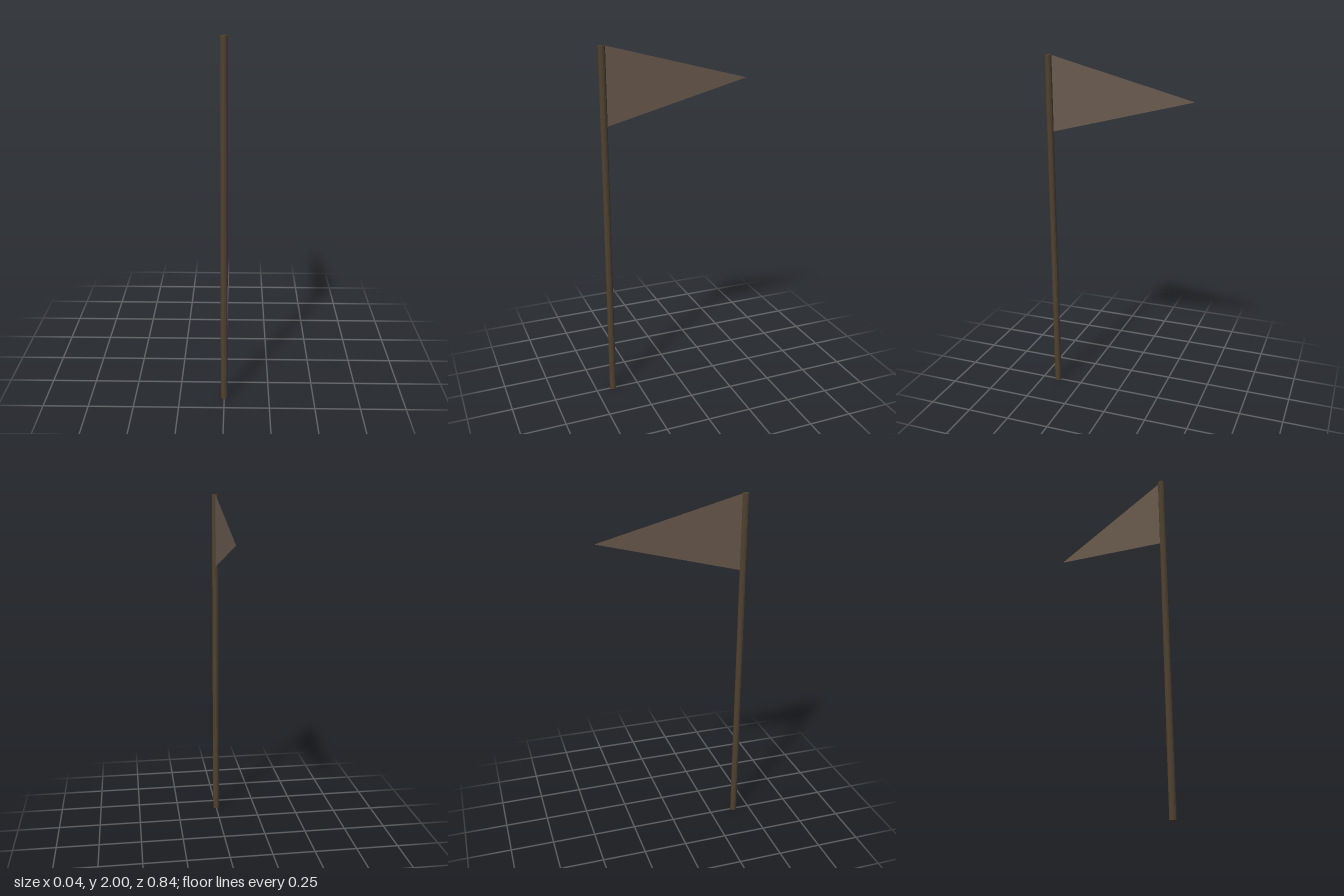
import * as THREE from 'three';

export function createModel() {
  const model = new THREE.Group();
  const wood = new THREE.MeshStandardMaterial({ color: 0x4f4130 });
  wood.name = 'dark wood';
  const cloth = new THREE.MeshStandardMaterial({ color: 0x6a5a4e, side: THREE.DoubleSide });
  cloth.name = 'brown cloth';
  wood.flatShading = true;

  const poleZ = 0.402, poleRadius = 0.019;

  // Upright pole at the front edge
  const pole = new THREE.Mesh(new THREE.CylinderGeometry(poleRadius, poleRadius, 2, 12), wood);
  pole.name = 'pole';
  pole.position.set(0, 1, poleZ);
  model.add(pole);

  // Triangular pennant trailing back from the pole, drawn in (distance behind pole, y)
  const outline = new THREE.Shape([
    new THREE.Vector2(0.012, 1.58),
    new THREE.Vector2(0.822, 1.79),
    new THREE.Vector2(0.012, 2),
  ]);
  const pennant = new THREE.Mesh(new THREE.ShapeGeometry(outline), cloth);
  pennant.name = 'pennant';
  pennant.rotation.y = Math.PI / 2;
  pennant.position.z = poleZ;
  model.add(pennant);

  return model;
}
